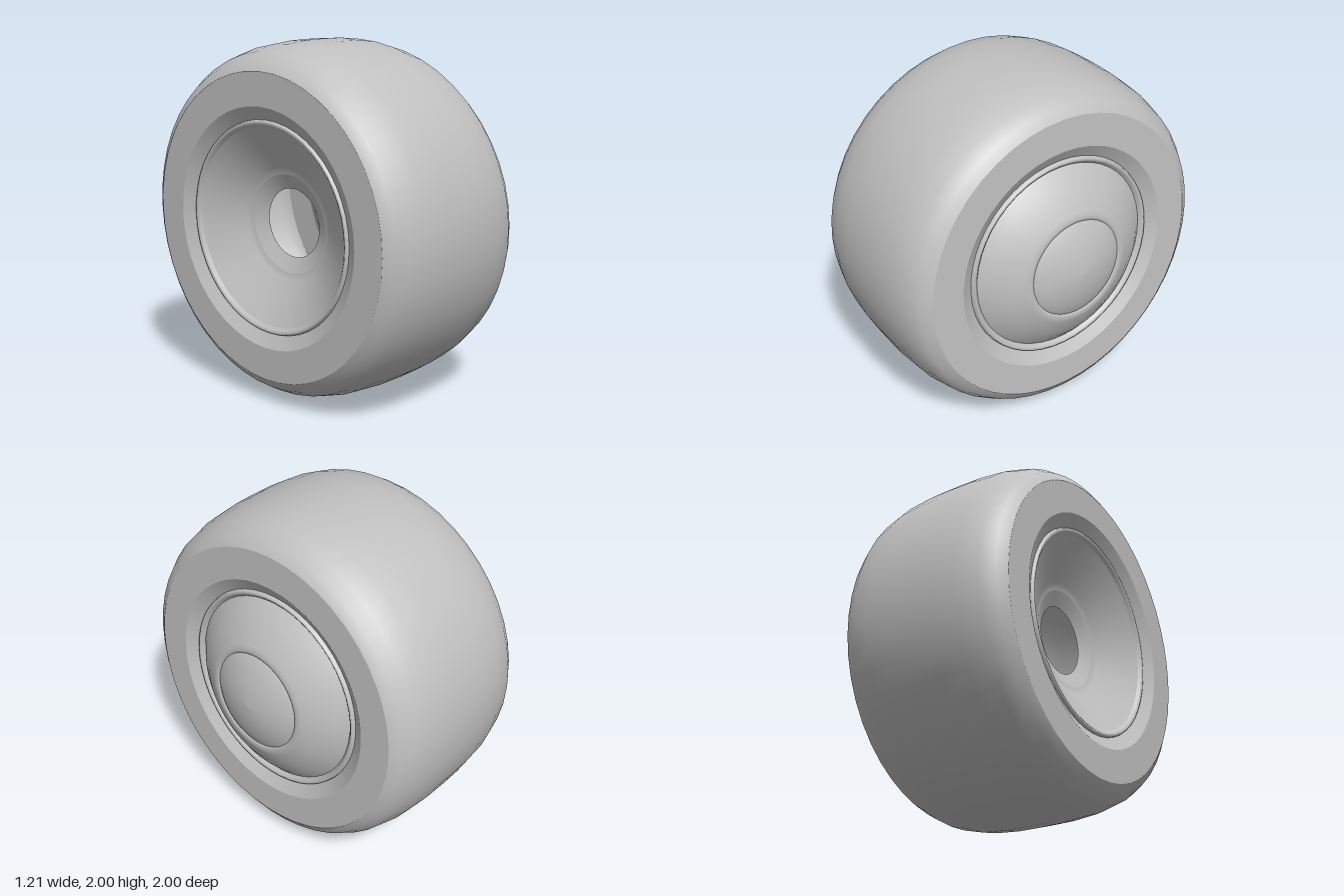
import * as THREE from 'three';

const SIDES = 48;
const grey = new THREE.MeshStandardMaterial({ color: 0xc0c0c0, side: THREE.DoubleSide });
grey.name = 'light grey';

// Turns an [x, radius] profile, listed from -x to +x, around the x axis.
// The outer face leans in more at the top than the inner face does.
function ring(name, profile) {
  const geo = new THREE.LatheGeometry(profile.map(([x, r]) => new THREE.Vector2(r, x)), SIDES);
  geo.rotateZ(-Math.PI / 2);
  const pos = geo.attributes.position;
  const nor = geo.attributes.normal;
  for (let i = 0; i < pos.count; i++) {
    const x = pos.getX(i);
    const y = pos.getY(i);
    const lean = 0.012 + 0.041 * THREE.MathUtils.clamp((x + 0.6) / 1.04, 0, 1);
    pos.setX(i, x - lean * y);
    const n = new THREE.Vector3().fromBufferAttribute(nor, i);
    n.y += lean * n.x;
    n.normalize();
    nor.setXYZ(i, n.x, n.y, n.z);
  }
  geo.translate(0, 1, 0);
  const mesh = new THREE.Mesh(geo, grey);
  mesh.name = name;
  return mesh;
}

export function createModel() {
  const wheel = new THREE.Group();
  wheel.name = 'wheel';

  // Tyre: rounded tread, flat sidewalls and bevels down to the rim
  const tyre = new THREE.Group();
  tyre.name = 'tyre';
  tyre.add(
    ring('tread', [
      [-0.598, 0.855], [-0.56, 0.91], [-0.49, 0.953], [-0.37, 0.984], [-0.22, 0.998], [-0.08, 1],
      [0.06, 0.998], [0.21, 0.984], [0.33, 0.953], [0.4, 0.91], [0.437, 0.855],
    ]),
    ring('innerSidewall', [[-0.598, 0.67], [-0.598, 0.855]]),
    ring('innerBevel', [[-0.555, 0.595], [-0.598, 0.67]]),
    ring('outerSidewall', [[0.437, 0.855], [0.437, 0.67]]),
    ring('outerBevel', [[0.437, 0.67], [0.39, 0.595]]),
  );

  // Outer rim: raised lip, convex dish and domed hub cap
  const outerRim = new THREE.Group();
  outerRim.name = 'outerRim';
  outerRim.add(
    ring('outerLip', [[0.39, 0.595], [0.408, 0.59], [0.412, 0.58], [0.405, 0.57]]),
    ring('outerLipStep', [[0.405, 0.57], [0.39, 0.555]]),
    ring('outerDish', [
      [0.39, 0.555], [0.437, 0.5], [0.49, 0.42], [0.528, 0.34], [0.537, 0.315], [0.535, 0.298],
    ]),
    ring('hubGroove', [[0.535, 0.298], [0.53, 0.287]]),
    ring('hubCap', [
      [0.53, 0.287], [0.545, 0.262], [0.567, 0.21], [0.587, 0.14], [0.6, 0.07], [0.605, 0],
    ]),
  );

  // Inner rim: lip and concave dish with an open hub hole
  const innerRim = new THREE.Group();
  innerRim.name = 'innerRim';
  innerRim.add(
    ring('hubHole', [[-0.36, 0.195], [-0.4, 0.28]]),
    ring('innerDish', [[-0.4, 0.28], [-0.41, 0.32], [-0.55, 0.555]]),
    ring('innerLipStep', [[-0.55, 0.555], [-0.565, 0.57]]),
    ring('innerLip', [[-0.565, 0.57], [-0.572, 0.58], [-0.568, 0.59], [-0.555, 0.595]]),
  );

  wheel.add(tyre, outerRim, innerRim);
  return wheel;
}
